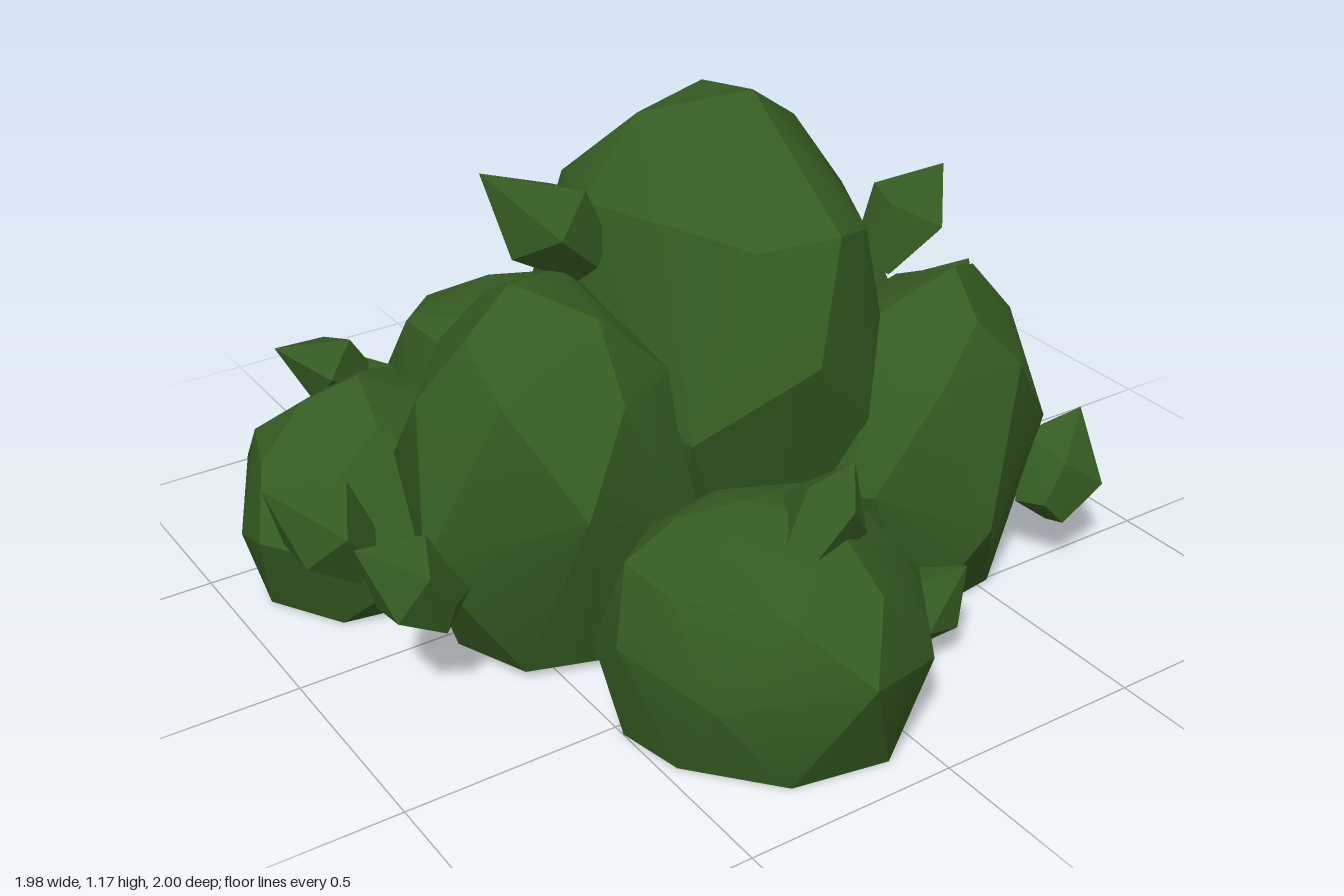
import * as THREE from 'three';
import { ConvexGeometry } from 'three/addons/geometries/ConvexGeometry.js';
import { toCreasedNormals } from 'three/addons/utils/BufferGeometryUtils.js';

const leafGreen = new THREE.MeshStandardMaterial({ color: 0x355c22 });
leafGreen.name = 'leaf green';

function seeded(seed) {
  let s = seed * 7919 + 17;
  return () => (s = (s * 16807) % 2147483647) / 2147483647;
}

// Faceted boulder of foliage: the plan outline [x, z] is its widest ring, zigzagging
// around height wide; rings above close in on the peak, one below makes the flat base.
function clump({ plan, base, wide, peak, foot }, seed) {
  const rand = seeded(seed);
  const [px, py, pz] = peak;
  const n = plan.length;
  const cx = plan.reduce((sum, p) => sum + p[0], 0) / n;
  const cz = plan.reduce((sum, p) => sum + p[1], 0) / n;
  const points = [new THREE.Vector3(px, py, pz)];
  const ring = (y, scale, lean, offset, step, wobble, zigzag) => {
    for (let i = 0; i < n; i += step) {
      const a = plan[i], b = plan[(i + 1) % n];
      const k = scale * (1 + (rand() - 0.5) * wobble);
      const x = a[0] + (b[0] - a[0]) * offset, z = a[1] + (b[1] - a[1]) * offset;
      points.push(new THREE.Vector3(
        cx + (px - cx) * lean + (x - cx) * k,
        y + (rand() - 0.5) * wobble * (py - base) + (i % 2 ? zigzag : -zigzag),
        cz + (pz - cz) * lean + (z - cz) * k
      ));
    }
  };
  const rise = py - wide, drop = wide - base;
  ring(base, foot, 0, 0.5, 1, 0, 0);
  ring(wide - drop * 0.1, 1, 0, 0, 1, 0, drop * 0.15);
  ring(wide + rise * 0.55, 0.85, 0.2, 0.5, 1, 0.08, 0);
  ring(wide + rise * 0.84, 0.46, 0.55, 0, 2, 0.08, 0);
  return toCreasedNormals(new ConvexGeometry(points), 0.45);
}

// Small pointed bud: narrow root, wide shoulders, sharp tip
function sprig(root, tip, width, seed) {
  const rand = seeded(seed);
  const start = new THREE.Vector3(...root), end = new THREE.Vector3(...tip);
  const axis = end.clone().sub(start);
  const turn = new THREE.Quaternion().setFromUnitVectors(
    new THREE.Vector3(0, 1, 0), axis.clone().normalize());
  const points = [end];
  for (const [t, r] of [[0, 0.3], [0.45, 0.52]]) {
    for (let i = 0; i < 5; i++) {
      const a = (i / 5) * Math.PI * 2 + seed;
      const radius = r * width * (0.9 + rand() * 0.2);
      points.push(new THREE.Vector3(Math.cos(a) * radius, (rand() - 0.5) * 0.05, Math.sin(a) * radius)
        .applyQuaternion(turn).add(start).addScaledVector(axis, t));
    }
  }
  return toCreasedNormals(new ConvexGeometry(points), 0.4);
}

export function createModel() {
  const group = new THREE.Group();
  group.name = 'bush';
  const add = (name, geometry) => {
    const mesh = new THREE.Mesh(geometry, leafGreen);
    mesh.name = name;
    group.add(mesh);
  };

  // Main foliage
  const clumps = {
    centreClump: {
      plan: [[-0.34, -0.21], [-0.1, -0.39], [0.2, -0.45], [0.47, -0.26], [0.47, -0.05],
        [0.3, 0.35], [0.19, 0.46], [0.03, 0.49], [-0.21, 0.36], [-0.27, 0.09]],
      base: 0.1, wide: 0.68, peak: [0.15, 1.18, 0.06], foot: 0.65,
    },
    leftSideClump: {
      plan: [[-0.42, -0.25], [-0.71, -0.06], [-0.78, 0.2], [-0.51, 0.43], [-0.21, 0.39],
        [-0.1, 0.2], [-0.1, -0.1], [-0.25, -0.25]],
      base: 0.03, wide: 0.46, peak: [-0.48, 0.88, 0.07], foot: 0.72,
    },
    frontClump: {
      plan: [[-0.52, 0.45], [-0.55, 0.59], [-0.45, 0.8], [-0.2, 1.0], [0.04, 0.89],
        [0.15, 0.7], [0.14, 0.5], [0.03, 0.38], [-0.23, 0.36]],
      base: 0.01, wide: 0.27, peak: [-0.26, 0.55, 0.62], foot: 0.9,
    },
    frontRightClump: {
      plan: [[0.48, -0.05], [0.68, 0.05], [0.78, 0.18], [0.72, 0.46], [0.39, 0.66],
        [0.15, 0.54], [0.08, 0.25], [0.22, 0.02]],
      base: 0.01, wide: 0.36, peak: [0.53, 0.76, 0.33], foot: 0.82,
    },
    backRightClump: {
      plan: [[0.24, -0.62], [0.46, -0.83], [0.64, -0.83], [0.88, -0.68], [0.92, -0.48],
        [0.83, -0.13], [0.48, -0.05], [0.22, -0.18], [0.18, -0.4]],
      base: 0.01, wide: 0.25, peak: [0.54, 0.68, -0.41], foot: 0.92,
    },
    backClump: {
      plan: [[-0.4, -0.66], [-0.37, -0.81], [-0.14, -0.9], [0.03, -0.86], [0.24, -0.69],
        [0.26, -0.48], [0.15, -0.25], [-0.18, -0.2], [-0.32, -0.34]],
      base: 0.01, wide: 0.25, peak: [-0.1, 0.56, -0.52], foot: 0.88,
    },
    backLeftClump: {
      plan: [[-0.48, -0.7], [-0.38, -0.58], [-0.34, -0.4], [-0.42, -0.17], [-0.71, -0.03],
        [-0.96, -0.26], [-0.94, -0.42], [-0.82, -0.65]],
      base: 0.01, wide: 0.22, peak: [-0.63, 0.5, -0.4], foot: 0.88,
    },
  };
  Object.entries(clumps).forEach(([name, spec], i) => add(name, clump(spec, i + 1)));

  // Buds poking out of the foliage: root, tip, width
  const sprigs = [
    [[-0.25, 0.86, 0.0], [-0.48, 1.09, -0.04], 0.21],
    [[0.42, 0.75, 0.17], [0.6, 0.95, 0.19], 0.2],
    [[0.77, 0.3, -0.09], [0.99, 0.49, -0.13], 0.23],
    [[0.67, 0.18, 0.52], [0.83, 0.37, 0.47], 0.22],
    [[0.14, 0.08, 0.64], [0.28, 0.25, 0.71], 0.18],
    [[-0.2, 0.46, 0.74], [-0.04, 0.61, 0.7], 0.18],
    [[-0.79, 0.24, -0.08], [-0.99, 0.44, -0.14], 0.21],
    [[-0.75, 0.26, 0.24], [-0.93, 0.44, 0.19], 0.2],
    [[0.4, 0.17, -0.84], [0.54, 0.36, -1.0], 0.2],
    [[0.84, 0.3, -0.56], [0.98, 0.41, -0.67], 0.19],
    [[-0.57, 0.42, -0.53], [-0.77, 0.55, -0.54], 0.17],
    [[-0.33, 0.16, -0.7], [-0.43, 0.32, -0.8], 0.13],
  ];
  sprigs.forEach((spec, i) => add('bud' + (i + 1), sprig(...spec, i + 3)));

  return group;
}
